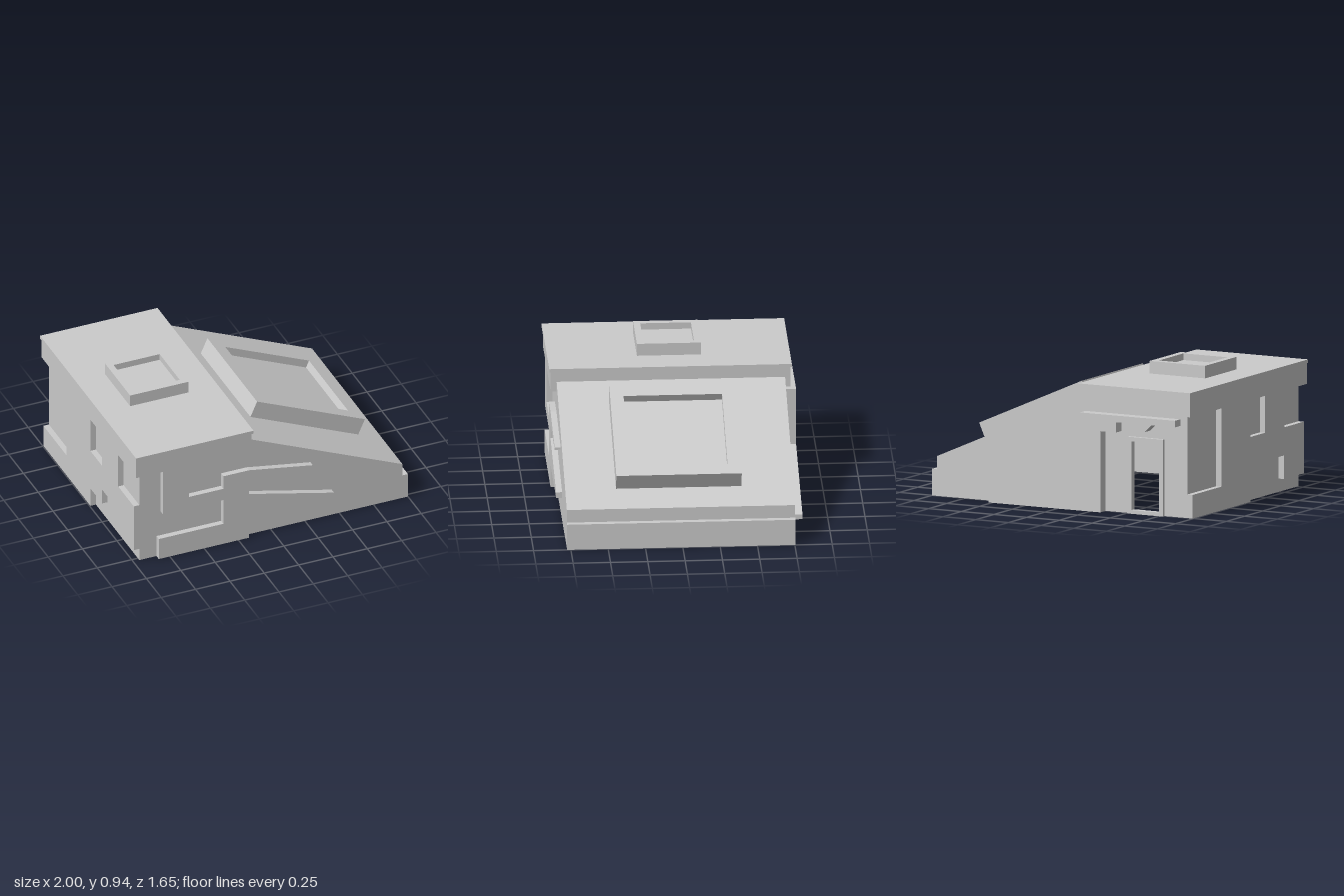
import * as THREE from 'three';

const grey = new THREE.MeshStandardMaterial({ color: 0xcccccc, flatShading: true });
const sheet = new THREE.MeshStandardMaterial({ color: 0xcccccc, flatShading: true, side: THREE.DoubleSide });

const BACK = -0.755, FRONT = 0.775;

const toShape = (pts) => new THREE.Shape(pts.map(([x, y]) => new THREE.Vector2(x, y)));
const rectPoints = (x0, y0, x1, y1) => [[x0, y0], [x1, y0], [x1, y1], [x0, y1]];

function add(parent, name, geometry, material = grey) {
  const mesh = new THREE.Mesh(geometry, material);
  mesh.name = name;
  parent.add(mesh);
  return mesh;
}

// Box given by its lower and upper corners
function block(parent, name, [x0, y0, z0], [x1, y1, z1]) {
  const mesh = add(parent, name, new THREE.BoxGeometry(x1 - x0, y1 - y0, z1 - z0));
  mesh.position.set((x0 + x1) / 2, (y0 + y1) / 2, (z0 + z1) / 2);
  return mesh;
}

// Flat outline, optionally with a hole, extruded along its local z
function panel(parent, name, pts, depth, hole) {
  const shape = toShape(pts);
  if (hole) shape.holes.push(toShape(hole));
  return add(parent, name, new THREE.ExtrudeGeometry(shape, { depth, bevelEnabled: false }));
}

// Raised rim around a sunken pane, lying in the local xz plane
function skylight(parent, name, outer, inner, height, paneHeight) {
  const group = new THREE.Group();
  group.name = name;
  const rim = panel(group, 'skylightRim', rectPoints(...outer), height, rectPoints(...inner));
  rim.rotation.x = Math.PI / 2; // local y becomes z
  rim.position.y = height;
  block(group, 'skylightPane', [inner[0], 0.002, inner[1]], [inner[2], paneHeight, inner[3]]);
  parent.add(group);
  return group;
}

export function createModel() {
  const model = new THREE.Group();
  model.name = 'house';

  // Hollow shell, open underneath
  const profile = [
    [-0.955, 0], [1, 0], [1, 0.18], [0.96, 0.18], [0.96, 0.27],
    [-0.155, 0.76], [-0.155, 0.69], [-0.955, 0.69],
  ];
  add(model, 'frontWall', new THREE.ShapeGeometry(toShape(profile)), sheet).position.z = FRONT;

  const doorway = rectPoints(-0.75, 0.025, -0.54, 0.49);
  const backShape = toShape(profile);
  backShape.holes.push(toShape(doorway));
  add(model, 'backWall', new THREE.ShapeGeometry(backShape), sheet).position.z = BACK;

  // Sheets spanning front to back along the profile, without floor or ceiling
  const spans = ['lowWall', 'ledge', 'upperLowWall', 'slopedRoof', null, null, 'sideWall'];
  spans.forEach((name, k) => {
    if (!name) return;
    const [ax, ay] = profile[k + 1];
    const [bx, by] = profile[(k + 2) % profile.length];
    const geometry = new THREE.BufferGeometry();
    geometry.setAttribute('position', new THREE.Float32BufferAttribute(
      [ax, ay, FRONT, ax, ay, BACK, bx, by, BACK, bx, by, FRONT], 3));
    geometry.setIndex([0, 1, 2, 0, 2, 3]);
    geometry.computeVertexNormals();
    add(model, name, geometry, sheet);
  });

  // Flat roof: deep fascia and thin overhanging slab
  block(model, 'roofFascia', [-0.995, 0.69, -0.79], [-0.155, 0.832, 0.815]);
  block(model, 'roofSlab', [-1, 0.832, -0.8], [-0.145, 0.855, 0.825]);

  // Raised relief on the front wall, with two tapering prongs
  panel(model, 'frontRelief', [
    [-0.8, 0.69], [-0.8, 0.35], [-0.36, 0.35], [-0.36, 0.16], [-0.83, 0.16], [-0.83, 0],
    [-0.175, 0], [-0.175, 0.16], [0.445, 0.16], [0.445, 0.2], [-0.175, 0.35], [-0.175, 0.445],
    [0.29, 0.445], [0.29, 0.46], [-0.175, 0.54], [-0.36, 0.54], [-0.36, 0.44], [-0.61, 0.44],
    [-0.61, 0.69],
  ], 0.04).position.z = FRONT;

  // Raised relief on the side wall, outlined in z and y
  const side = panel(model, 'sideRelief', [
    [-0.755, 0], [0.04, 0], [0.04, 0.14], [0.24, 0.14], [0.24, 0.25], [0.5, 0.25], [0.5, 0.09],
    [0.775, 0.09], [0.775, 0.44], [0.51, 0.44], [0.51, 0.69], [0.24, 0.69], [0.24, 0.44],
    [0.04, 0.44], [0.04, 0.69], [-0.36, 0.69], [-0.36, 0.16], [-0.755, 0.16],
  ], 0.04);
  side.rotation.y = -Math.PI / 2;
  side.position.x = -0.955;

  // Back pillar with a tapering foot and a canopy beam over the door
  panel(model, 'backCanopy', [
    [0.525, 0], [0.525, 0.035], [-0.175, 0.27], [-0.175, 0.665], [-0.9, 0.665], [-0.9, 0.62],
    [-0.72, 0.62], [-0.67, 0.57], [-0.64, 0.62], [-0.45, 0.62], [-0.45, 0.55], [-0.33, 0.55],
    [-0.33, 0],
  ], 0.075).position.z = -0.83;

  // Door frame around the open doorway
  panel(model, 'doorFrame', rectPoints(-0.78, 0, -0.51, 0.52), 0.04, doorway).position.z = BACK - 0.025;

  // Skylights on the flat roof and on the slope
  skylight(model, 'flatSkylight', [-0.785, -0.205, -0.36, 0.225], [-0.74, -0.16, -0.405, 0.18],
    0.085, 0.04).position.y = 0.855;
  const sloped = skylight(model, 'slopedSkylight', [0, -0.405, 0.857, 0.435], [0.1, -0.315, 0.765, 0.345],
    0.12, 0.066);
  sloped.position.set(0, 0.692, 0);
  sloped.rotation.z = -Math.atan2(0.49, 1.115);

  return model;
}
